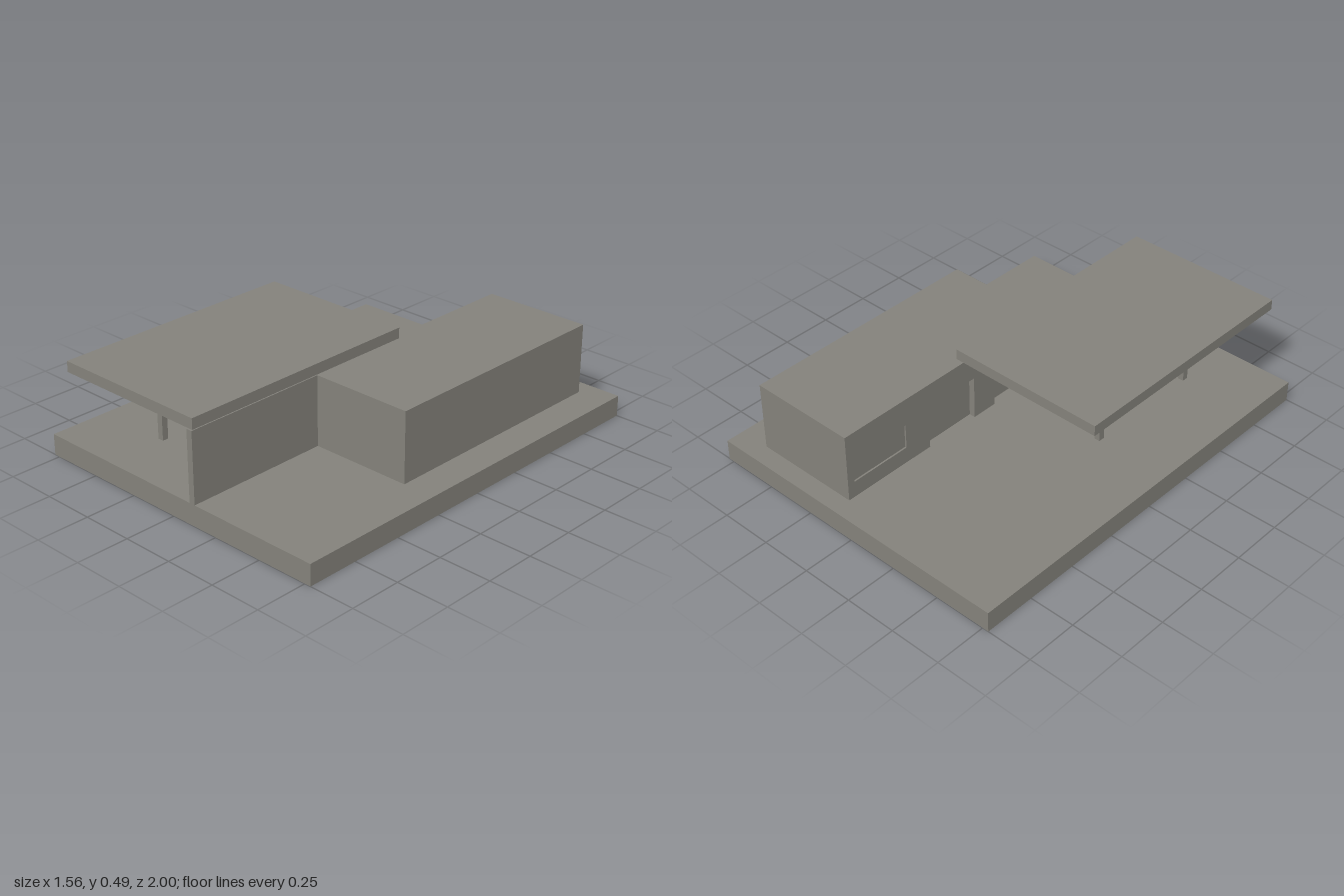
import * as THREE from 'three';

const clay = new THREE.MeshStandardMaterial({ color: 0x84827b });
clay.name = 'warm grey';

export function createModel() {
  const model = new THREE.Group();
  model.name = 'pavilion';

  const add = (name, geometry, parent = model) => {
    const mesh = new THREE.Mesh(geometry, clay);
    mesh.name = name;
    parent.add(mesh);
    return mesh;
  };
  // Box given by its lower and upper corners
  const block = (name, x0, x1, y0, y1, z0, z1, parent) => {
    const g = new THREE.BoxGeometry(x1 - x0, y1 - y0, z1 - z0);
    g.translate((x0 + x1) / 2, (y0 + y1) / 2, (z0 + z1) / 2);
    return add(name, g, parent);
  };

  // Ground slab, enclosed building and free-standing wall
  block('groundSlab', -0.78, 0.78, 0, 0.1, -1, 1);
  block('buildingBody', 0.13, 0.625, 0.1, 0.435, -0.91, 0.29);
  block('gardenWall', 0.1, 0.13, 0.1, 0.435, 0.29, 1);

  // Facade with a doorway, a tall entrance and a window; drawn as (z, y)
  const facade = new THREE.Shape([
    [-0.91, 0.1], [-0.43, 0.1], [-0.43, 0.315], [-0.15, 0.315], [-0.15, 0.1],
    [-0.02, 0.1], [-0.02, 0.36], [0.26, 0.36], [0.26, 0.1], [0.29, 0.1],
    [0.29, 0.435], [-0.91, 0.435],
  ].map(([z, y]) => new THREE.Vector2(z, y)));
  facade.holes.push(new THREE.Path([
    [-0.875, 0.18], [-0.875, 0.3], [-0.57, 0.3], [-0.57, 0.18],
  ].map(([z, y]) => new THREE.Vector2(z, y))));
  const facadeGeometry = new THREE.ExtrudeGeometry(facade, { depth: 0.03, bevelEnabled: false });
  facadeGeometry.rotateY(-Math.PI / 2).translate(0.13, 0, 0);
  add('facade', facadeGeometry);
  block('windowPane', 0.108, 0.13, 0.18, 0.3, -0.875, -0.57);

  // Flat canopy on two posts with caps
  block('canopy', -0.645, 0.135, 0.442, 0.493, -0.22, 1);
  for (const z of [0.11, 0.7]) {
    const post = new THREE.Group();
    post.name = 'canopyPost';
    model.add(post);
    block('postShaft', -0.417, -0.388, 0.1, 0.43, z - 0.015, z + 0.015, post);
    block('postCap', -0.428, -0.378, 0.43, 0.442, z - 0.025, z + 0.025, post);
  }

  // Two rows of ceiling lights
  for (const x of [-0.565, -0.16]) {
    for (const z of [-0.05, 0.23, 0.51, 0.79]) {
      block('ceilingLight', x - 0.028, x + 0.028, 0.436, 0.442, z - 0.043, z + 0.043);
    }
  }

  // Small standing figure for scale
  const figure = new THREE.Group();
  figure.name = 'scaleFigure';
  figure.position.set(-0.02, 0.1, 0.55);
  model.add(figure);
  const limb = (name, a, b, r0, r1) => {
    const from = new THREE.Vector3(...a), to = new THREE.Vector3(...b);
    const dir = to.clone().sub(from);
    const mesh = add(name, new THREE.CylinderGeometry(r1, r0, dir.length(), 10), figure);
    mesh.position.copy(from).add(to).multiplyScalar(0.5);
    mesh.quaternion.setFromUnitVectors(new THREE.Vector3(0, 1, 0), dir.normalize());
  };
  const torso = [[0, 0.07], [0.017, 0.075], [0.018, 0.09], [0.014, 0.105], [0.02, 0.125], [0.018, 0.135], [0.006, 0.141], [0, 0.142]];
  const torsoGeometry = new THREE.LatheGeometry(torso.map(([r, y]) => new THREE.Vector2(r, y)), 14);
  add('torso', torsoGeometry.scale(1, 1, 0.6), figure);
  limb('neck', [0, 0.136, 0], [0, 0.148, 0], 0.005, 0.005);
  const head = add('head', new THREE.SphereGeometry(0.009, 12, 10), figure);
  head.scale.set(0.9, 1.3, 1);
  head.position.y = 0.153;
  for (const s of [-1, 1]) {
    limb('thigh', [s * 0.009, 0.08, 0], [s * 0.012, 0.042, 0], 0.01, 0.007);
    limb('shin', [s * 0.012, 0.042, 0], [s * 0.013, 0.004, 0], 0.007, 0.004);
    block('foot', s * 0.014 - 0.004, s * 0.014 + 0.004, 0, 0.005, -0.005, 0.016, figure);
    limb('upperArm', [s * 0.016, 0.132, 0], [s * 0.031, 0.111, 0], 0.006, 0.005);
    limb('forearm', [s * 0.031, 0.111, 0], [s * 0.044, 0.092, 0], 0.005, 0.003);
    limb('hand', [s * 0.044, 0.092, 0], [s * 0.049, 0.082, 0], 0.004, 0.002);
  }

  return model;
}
